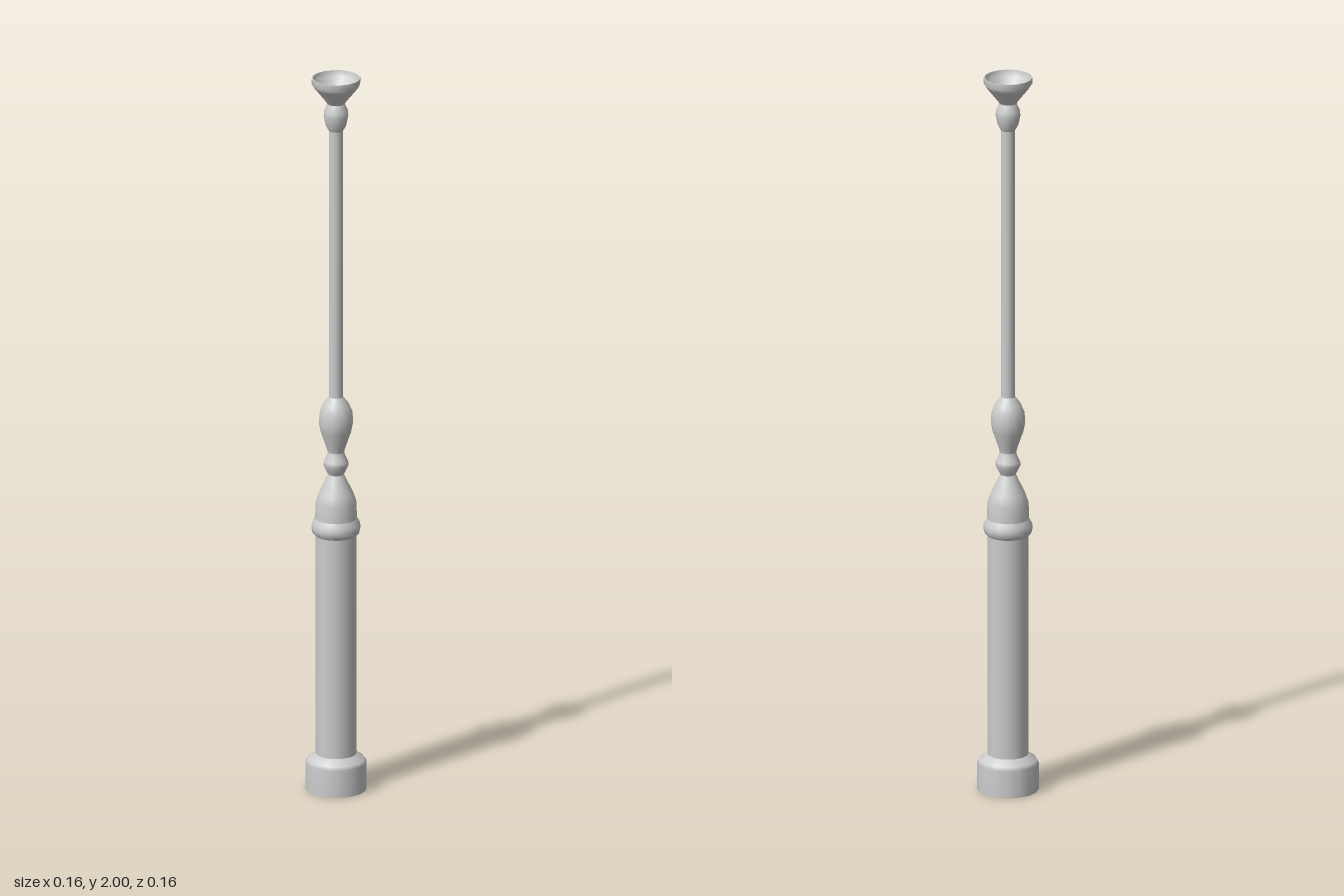
import * as THREE from 'three';

const SIDES = 16;

export function createModel() {
  const group = new THREE.Group();
  const material = new THREE.MeshStandardMaterial({ color: 0xcccccc, side: THREE.DoubleSide });

  // Turns a [radius, height] profile, listed bottom to top, around the y axis
  const turn = (name, profile) => {
    const points = profile.map(([r, y]) => new THREE.Vector2(r, y));
    const mesh = new THREE.Mesh(new THREE.LatheGeometry(points, SIDES), material);
    mesh.name = name;
    group.add(mesh);
  };

  // Foot with a closed underside and a bevelled shoulder
  turn('footUnderside', [[0, 0], [0.082, 0]]);
  turn('foot', [[0.082, 0], [0.082, 0.075], [0.077, 0.085], [0.055, 0.1]]);

  // Thick lower column
  turn('lowerColumn', [[0.055, 0.1], [0.055, 0.715]]);

  // Collar ring and shoulder tapering to the neck
  turn('collar', [[0.055, 0.715], [0.063, 0.722], [0.066, 0.735], [0.064, 0.748], [0.056, 0.762]]);
  turn('shoulder', [[0.056, 0.762], [0.055, 0.805], [0.047, 0.83], [0.027, 0.872], [0.021, 0.885]]);

  // Small bead and vase-shaped swelling
  turn('neckBead', [[0.021, 0.885], [0.026, 0.895], [0.034, 0.912], [0.032, 0.922], [0.024, 0.938], [0.022, 0.948]]);
  turn('vase', [[0.022, 0.948], [0.027, 0.965], [0.041, 1.005], [0.046, 1.03], [0.044, 1.06], [0.034, 1.083], [0.019, 1.103]]);

  // Slim upper shaft
  turn('upperShaft', [[0.019, 1.103], [0.019, 1.852]]);

  // Bead under the cup
  turn('topBead', [[0.019, 1.852], [0.028, 1.868], [0.033, 1.893], [0.032, 1.908], [0.023, 1.928]]);

  // Flared open cup with a rim, sloping inside and flat floor
  turn('cup', [[0.023, 1.928], [0.03, 1.938], [0.058, 1.973], [0.065, 1.984], [0.065, 2]]);
  turn('cupRim', [[0.065, 2], [0.062, 2]]);
  turn('cupInside', [[0.062, 2], [0.059, 1.984], [0.024, 1.938]]);
  turn('cupFloor', [[0.024, 1.938], [0, 1.938]]);

  return group;
}
